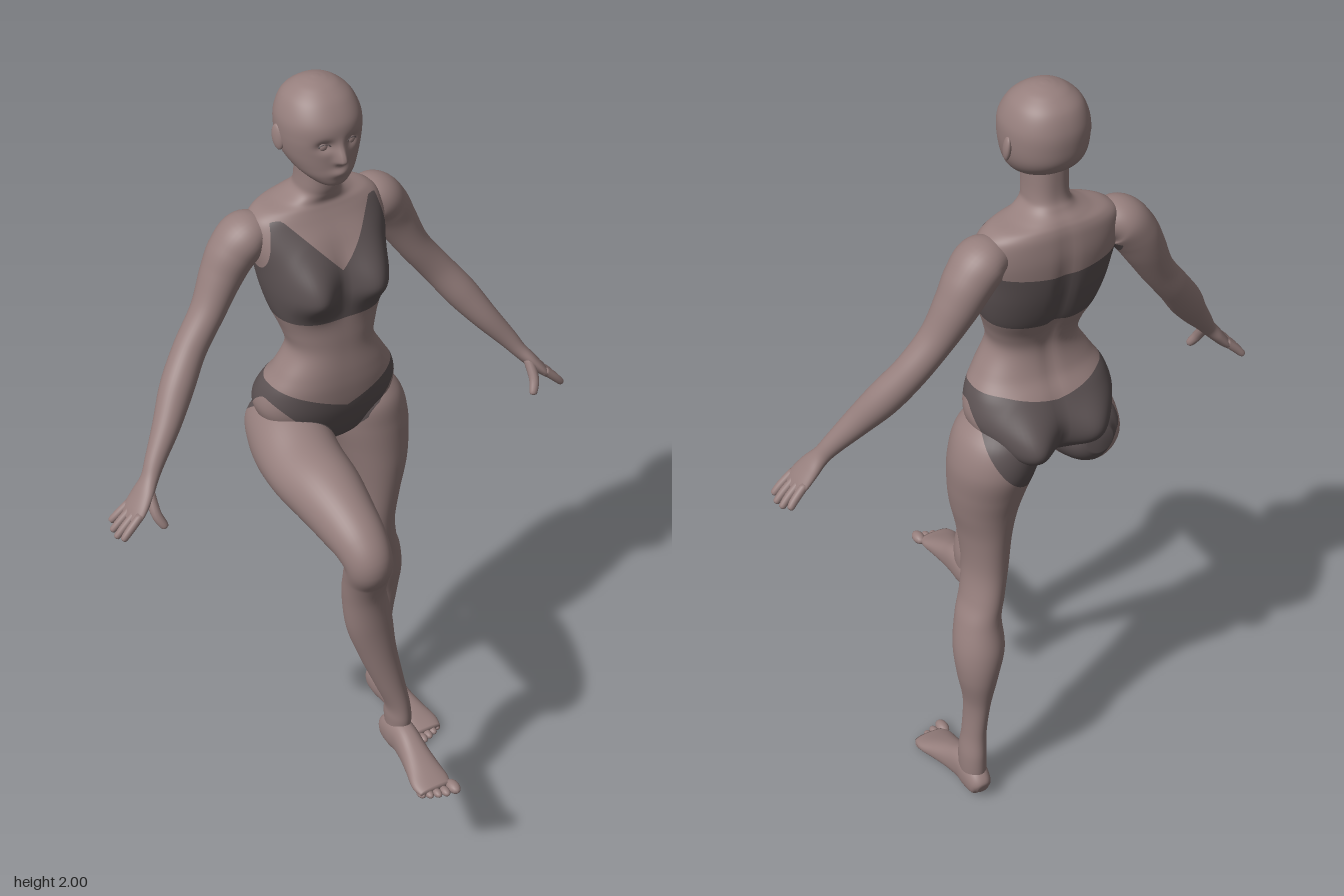
import * as THREE from 'three';

const skin = new THREE.MeshStandardMaterial({ color: 0x967f7d });
skin.name = 'skin';
const cloth = new THREE.MeshStandardMaterial({ color: 0x5c5253 });
cloth.name = 'dark cloth';

const gauss = (d, s) => Math.exp(-(d * d) / (s * s));
const spow = (v, e) => Math.sign(v) * Math.pow(Math.abs(v), 2 / e);

// Smooth closed skin through sections [x, y, z, radiusAlongRef, otherRadius].
// up fixes the ring plane; without it rings stand square to the path.
function loft(sections, { ref = [1, 0, 0], up = null, n = 40, rows = 60, e = 2, warp = null } = {}) {
  const path = new THREE.CatmullRomCurve3(sections.map(s => new THREE.Vector3(s[0], s[1], s[2])), false, 'catmullrom', 0.5);
  const size = new THREE.CatmullRomCurve3(sections.map(s => new THREE.Vector3(s[3], s[4], 0)), false, 'catmullrom', 0.5);
  const pos = [], idx = [], put = p => { if (warp) warp(p); pos.push(p.x, p.y, p.z); };
  for (let i = 0; i <= rows; i++) {
    const c = path.getPoint(i / rows), r = size.getPoint(i / rows);
    const t = up ? new THREE.Vector3(...up) : path.getTangent(i / rows);
    const s = new THREE.Vector3(...ref);
    s.addScaledVector(t, -s.dot(t)).normalize();
    const f = s.clone().cross(t);
    for (let j = 0; j < n; j++) {
      const a = j / n * Math.PI * 2;
      put(c.clone().addScaledVector(s, r.x * spow(Math.cos(a), e)).addScaledVector(f, r.y * spow(Math.sin(a), e)));
      if (i < rows) {
        const k = i * n + j, m = i * n + (j + 1) % n;
        idx.push(k, k + n, m, m, k + n, m + n);
      }
    }
  }
  // end caps
  const first = (rows + 1) * n, base = rows * n;
  put(path.getPoint(0));
  put(path.getPoint(1));
  for (let j = 0; j < n; j++) {
    const m = (j + 1) % n;
    idx.push(first, j, m, first + 1, base + m, base + j);
  }
  const g = new THREE.BufferGeometry();
  g.setAttribute('position', new THREE.Float32BufferAttribute(pos, 3));
  g.setIndex(idx);
  g.computeVertexNormals();
  return g;
}

// Positive inside the clothing: cropped top and briefs
function clothing(p) {
  const x = Math.abs(p.x);
  const front = THREE.MathUtils.smoothstep(p.z, -0.30, -0.22);
  const neckline = Math.min(1.535 + 1.1 * x, 1.665);
  const top = Math.min(p.y - 1.408, THREE.MathUtils.lerp(1.555 + 0.1 * x, neckline, front) - p.y,
    0.145 + (1.66 - p.y) * 0.2 - x);
  const waist = THREE.MathUtils.lerp(1.195 + 0.2 * x, 1.155 + 0.4 * x, front);
  const legLine = 1.03 + (x - 0.03) * 1.05 - 0.9 * Math.max(0, -0.22 - p.z) + 5 * Math.max(0, p.z + 0.14);
  return Math.max(top, Math.min(waist - p.y, p.y - legLine));
}

// Cuts triangles along the clothing edge and sorts them into two material groups
function dress(geo) {
  const g = geo.toNonIndexed(), P = g.attributes.position, N = g.attributes.normal;
  const pos = [], nor = [], out = new THREE.BufferGeometry();
  [-1, 1].forEach((sign, group) => {
    const start = pos.length / 3;
    for (let i = 0; i < P.count; i += 3) {
      const v = [0, 1, 2].map(k => {
        const p = new THREE.Vector3().fromBufferAttribute(P, i + k);
        return { p, n: new THREE.Vector3().fromBufferAttribute(N, i + k), f: sign * clothing(p) };
      });
      const poly = [];
      v.forEach((a, k) => {
        const b = v[(k + 1) % 3], t = a.f / (a.f - b.f);
        if (a.f >= 0) poly.push(a);
        if (a.f * b.f < 0) poly.push({ p: a.p.clone().lerp(b.p, t), n: a.n.clone().lerp(b.n, t).normalize() });
      });
      for (let k = 1; k + 1 < poly.length; k++) {
        for (const q of [poly[0], poly[k], poly[k + 1]]) {
          pos.push(q.p.x, q.p.y, q.p.z);
          nor.push(q.n.x, q.n.y, q.n.z);
        }
      }
    }
    out.addGroup(start, pos.length / 3 - start, group);
  });
  out.setAttribute('position', new THREE.Float32BufferAttribute(pos, 3));
  out.setAttribute('normal', new THREE.Float32BufferAttribute(nor, 3));
  return out;
}

// Horizontal sections [y, halfWidth, zFront, zBack]
const upright = list => list.map(([y, w, f, b]) => [0, y, (f + b) / 2, w, (f - b) / 2]);

export function createModel() {
  const model = new THREE.Group();
  const add = (name, geo, mat = skin, parent = model) => {
    const m = new THREE.Mesh(geo, mat);
    m.name = name;
    parent.add(m);
    return m;
  };
  const addDressed = (name, geo) => add(name, dress(geo), [skin, cloth]);

  // Torso and neck, with bust, buttocks and spine groove raised by rule
  addDressed('torso', loft(upright([
    [1.015, 0.03, -0.19, -0.28], [1.04, 0.10, -0.16, -0.31], [1.08, 0.155, -0.14, -0.34], [1.14, 0.185, -0.122, -0.35],
    [1.20, 0.176, -0.115, -0.33], [1.25, 0.146, -0.115, -0.30], [1.31, 0.113, -0.12, -0.285], [1.36, 0.121, -0.122, -0.295],
    [1.42, 0.143, -0.126, -0.325], [1.48, 0.158, -0.132, -0.345], [1.54, 0.168, -0.14, -0.357], [1.60, 0.178, -0.16, -0.362],
    [1.65, 0.172, -0.187, -0.358], [1.675, 0.145, -0.20, -0.352], [1.69, 0.095, -0.205, -0.343], [1.71, 0.058, -0.20, -0.325],
    [1.74, 0.05, -0.195, -0.312], [1.82, 0.05, -0.195, -0.31]]), {
    up: [0, 1, 0], n: 96, rows: 110, e: 2.35,
    warp: p => {
      const x = Math.abs(p.x);
      if (p.z > -0.22) {
        const k = Math.min(1, (p.z + 0.22) / 0.05);
        p.z += 0.056 * k * gauss(x - 0.085, 0.062) * gauss(p.y - 1.487, p.y < 1.487 ? 0.055 : 0.085);
      } else if (p.z < -0.26) {
        const k = Math.min(1, (-0.26 - p.z) / 0.05);
        p.z -= (p.x > 0 ? 0.068 : 0.05) * k * gauss(x - 0.09, 0.065) * gauss(p.y - 1.09, 0.075);
        p.z += 0.012 * k * gauss(x, 0.02) * gauss(p.y - 1.42, 0.2);
      }
    },
  }));

  // Head with nose, lips and eye sockets
  const head = new THREE.Group();
  head.name = 'head';
  model.add(head);
  add('skull', loft(upright([
    [1.754, 0.014, -0.165, -0.205], [1.762, 0.036, -0.15, -0.225], [1.785, 0.064, -0.143, -0.28], [1.81, 0.082, -0.142, -0.322],
    [1.84, 0.094, -0.141, -0.345], [1.88, 0.10, -0.138, -0.352], [1.92, 0.098, -0.142, -0.35], [1.96, 0.081, -0.166, -0.334],
    [1.985, 0.053, -0.196, -0.305], [1.996, 0.027, -0.222, -0.278], [2.0, 0.006, -0.244, -0.256]]), {
    up: [0, 1, 0], n: 112, rows: 90, e: 2.15,
    warp: p => {
      if (p.z < -0.21) return;
      const x = Math.abs(p.x);
      p.z += 0.026 * gauss(x, 0.013) * gauss(p.y - 1.832, p.y > 1.832 ? 0.032 : 0.011);
      p.z += 0.008 * gauss(x, 0.022) * gauss(p.y - 1.797, 0.012);
      p.z -= 0.012 * gauss(x - 0.036, 0.02) * gauss(p.y - 1.87, 0.014);
    },
  }), skin, head);

  for (const s of [1, -1]) {
    const side = s > 0 ? 'left' : 'right';
    const eye = add(side + 'Eye', new THREE.SphereGeometry(0.015, 20, 14), skin, head);
    eye.position.set(s * 0.036, 1.868, -0.165);
    const lash = add(side + 'Eyelash', new THREE.TorusGeometry(0.014, 0.0022, 6, 16, Math.PI), cloth, head);
    lash.position.set(s * 0.036, 1.868, -0.152);
    lash.scale.set(1, 0.5, 1);
    lash.rotation.y = s * 0.25;
    const ear = add(side + 'Ear', new THREE.SphereGeometry(1, 20, 14), skin, head);
    ear.scale.set(0.009, 0.032, 0.018);
    ear.position.set(s * 0.099, 1.865, -0.258);
    ear.rotation.set(-0.2, s * -0.3, 0);

    // Arm running into the palm
    const flip = list => list.map(([x, ...rest]) => [s * x, ...rest]);
    addDressed(side + 'Arm', loft(flip([
      [0.12, 1.625, -0.28, 0.04, 0.03], [0.175, 1.615, -0.285, 0.066, 0.056], [0.213, 1.575, -0.29, 0.064, 0.058],
      [0.245, 1.52, -0.29, 0.056, 0.052], [0.29, 1.44, -0.28, 0.046, 0.042], [0.35, 1.36, -0.265, 0.042, 0.041],
      [0.405, 1.285, -0.235, 0.042, 0.042], [0.455, 1.215, -0.20, 0.035, 0.034], [0.505, 1.15, -0.17, 0.026, 0.025],
      [0.53, 1.115, -0.155, 0.025, 0.02], [0.555, 1.085, -0.145, 0.036, 0.018], [0.582, 1.053, -0.138, 0.042, 0.015],
      [0.60, 1.032, -0.136, 0.036, 0.01]]), { ref: [0, 0, 1], n: 36, rows: 90 }));

    // Fingers and thumb
    const digit = (name, a, b, c, r) => add(name, loft(flip([
      [...a, r, r], [...b, r, r], [...c, r * 0.8, r * 0.8],
      [c[0] + (c[0] - b[0]) * 0.2, c[1] + (c[1] - b[1]) * 0.2, c[2] + (c[2] - b[2]) * 0.2, r * 0.2, r * 0.2]]),
      { ref: [0, 0, 1], n: 12, rows: 15 }));
    [-0.031, -0.011, 0.01, 0.03].forEach((d, i) => {
      const len = [0.8, 0.96, 1, 0.9][i];
      digit(side + 'Finger' + (i + 1), [0.582, 1.055, -0.137 + d], [0.582 + 0.036 * len, 1.055 - 0.033 * len, -0.138 + d * 1.15],
        [0.582 + 0.056 * len, 1.055 - 0.054 * len, -0.14 + d * 1.25], 0.0105);
    });
    digit(side + 'Thumb', [0.545, 1.095, -0.13], [0.545, 1.05, -0.10], [0.533, 1.02, -0.083], 0.013);

    // Foot with five toes
    const foot = new THREE.Group();
    foot.name = side + 'Foot';
    foot.position.set(...(s > 0 ? [0.205, 0.002, -0.335] : [-0.025, 0.262, 0.105]));
    model.add(foot);
    add(side + 'Sole', loft(flip([
      [0, 0.035, 0, 0.014, 0.014], [0, 0.04, 0.012, 0.028, 0.034], [0, 0.05, 0.05, 0.034, 0.048], [0, 0.052, 0.09, 0.034, 0.047],
      [0.004, 0.041, 0.14, 0.037, 0.037], [0.009, 0.029, 0.19, 0.044, 0.027], [0.013, 0.02, 0.23, 0.05, 0.018],
      [0.013, 0.015, 0.26, 0.044, 0.011]]), { n: 36, rows: 40, e: 2.3 }), skin, foot);
    [[-0.03, 0.272, 0.016], [-0.006, 0.272, 0.0115], [0.014, 0.266, 0.011], [0.033, 0.258, 0.0105], [0.05, 0.247, 0.0105]].forEach(([x, z, r], i) => {
      const toe = add(side + 'Toe' + (i + 1), new THREE.SphereGeometry(r, 14, 10), skin, foot);
      toe.position.set(s * x, r * 0.9, z);
      toe.scale.set(1, 0.9, 1.6);
    });
  }

  // Standing leg
  addDressed('leftLeg', loft([
    [0.10, 1.15, -0.24, 0.06, 0.07], [0.113, 1.10, -0.245, 0.098, 0.11], [0.127, 1.03, -0.247, 0.106, 0.118],
    [0.138, 0.95, -0.237, 0.094, 0.107], [0.143, 0.88, -0.23, 0.08, 0.096], [0.143, 0.80, -0.23, 0.063, 0.085],
    [0.145, 0.70, -0.237, 0.053, 0.073], [0.16, 0.62, -0.25, 0.051, 0.069], [0.178, 0.56, -0.263, 0.055, 0.066],
    [0.186, 0.48, -0.28, 0.063, 0.07], [0.195, 0.40, -0.29, 0.05, 0.06], [0.195, 0.30, -0.285, 0.031, 0.046],
    [0.20, 0.20, -0.28, 0.028, 0.041], [0.205, 0.13, -0.28, 0.032, 0.046], [0.205, 0.07, -0.28, 0.031, 0.045],
    [0.205, 0.04, -0.28, 0.024, 0.035]], { up: [0, -1, 0], n: 44, rows: 110 }));

  // Raised leg, bent at the knee
  addDressed('rightLeg', loft([
    [-0.10, 1.06, -0.36, 0.035, 0.035], [-0.10, 1.055, -0.32, 0.075, 0.075], [-0.115, 1.042, -0.21, 0.10, 0.105],
    [-0.13, 1.027, -0.10, 0.101, 0.09], [-0.132, 1.015, 0, 0.092, 0.087], [-0.132, 0.99, 0.09, 0.078, 0.078],
    [-0.13, 0.963, 0.153, 0.068, 0.066], [-0.127, 0.922, 0.185, 0.06, 0.06], [-0.12, 0.87, 0.165, 0.058, 0.054],
    [-0.115, 0.80, 0.145, 0.056, 0.053], [-0.098, 0.70, 0.14, 0.06, 0.052], [-0.077, 0.60, 0.145, 0.049, 0.047],
    [-0.05, 0.50, 0.155, 0.038, 0.041], [-0.028, 0.42, 0.16, 0.03, 0.041], [-0.023, 0.37, 0.157, 0.031, 0.045],
    [-0.023, 0.31, 0.155, 0.026, 0.038]], { n: 44, rows: 110 }));

  return model;
}
